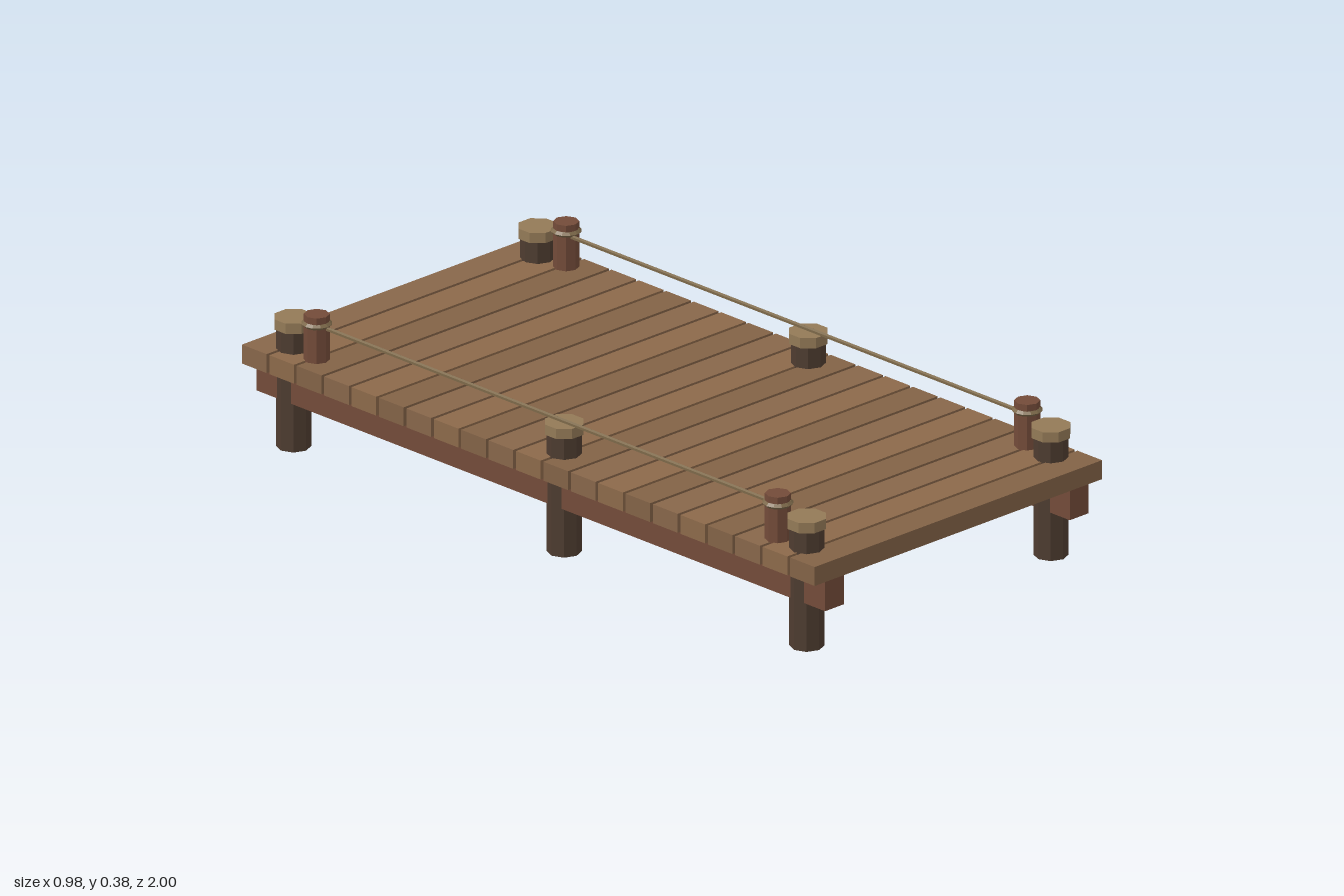
import * as THREE from 'three';

const mat = (color) => new THREE.MeshStandardMaterial({ color, flatShading: true });

export function createModel() {
  const dock = new THREE.Group();
  dock.name = 'dock';

  const plankMats = [0x87664a, 0x8c694a, 0x826246].map(mat);
  const pileMat = mat(0x4e3c30);
  const capMat = mat(0x937a57);
  const beamMat = mat(0x734b39);
  const ropeMat = mat(0x7c6849);

  const add = (name, geometry, material, x, y, z) => {
    const mesh = new THREE.Mesh(geometry, material);
    mesh.name = name;
    mesh.position.set(x, y, z);
    dock.add(mesh);
    return mesh;
  };

  // Deck planks with narrow gaps
  const count = 21, width = 0.086, pitch = (2 - width) / (count - 1);
  const plankGeo = new THREE.BoxGeometry(0.982, 0.05, width);
  for (let i = 0; i < count; i++) {
    add('plank', plankGeo, plankMats[i % 3], 0, 0.233, (i - (count - 1) / 2) * pitch);
  }

  const beamGeo = new THREE.BoxGeometry(0.064, 0.08, 1.985);
  const pileGeo = new THREE.CylinderGeometry(0.043, 0.043, 0.316, 8);
  const capGeo = new THREE.CylinderGeometry(0.051, 0.051, 0.027, 8).rotateY(Math.PI / 8);
  const postGeo = new THREE.CylinderGeometry(0.032, 0.032, 0.125, 8);
  const ringGeo = new THREE.TorusGeometry(0.032, 0.007, 4, 12).rotateX(Math.PI / 2);
  const ropeGeo = new THREE.CylinderGeometry(0.006, 0.006, 1.61, 6).rotateX(Math.PI / 2);

  for (const side of [-1, 1]) {
    // Long support beam under the deck edge
    add('beam', beamGeo, beamMat, side * 0.418, 0.168, 0.002);

    // Pilings with flat caps
    for (const z of [-0.895, 0.05, 0.897]) {
      add('piling', pileGeo, pileMat, side * 0.417, 0.158, z);
      add('pilingCap', capGeo, capMat, side * 0.417, 0.3285, z);
    }

    // Mooring posts with rope rings
    for (const z of [-0.805, 0.805]) {
      add('ropePost', postGeo, beamMat, side * 0.426, 0.3155, z);
      add('ropeRing', ringGeo, ropeMat, side * 0.426, 0.354, z);
    }

    // Rope between the posts
    add('rope', ropeGeo, ropeMat, side * 0.42, 0.345, 0);
  }

  return dock;
}
